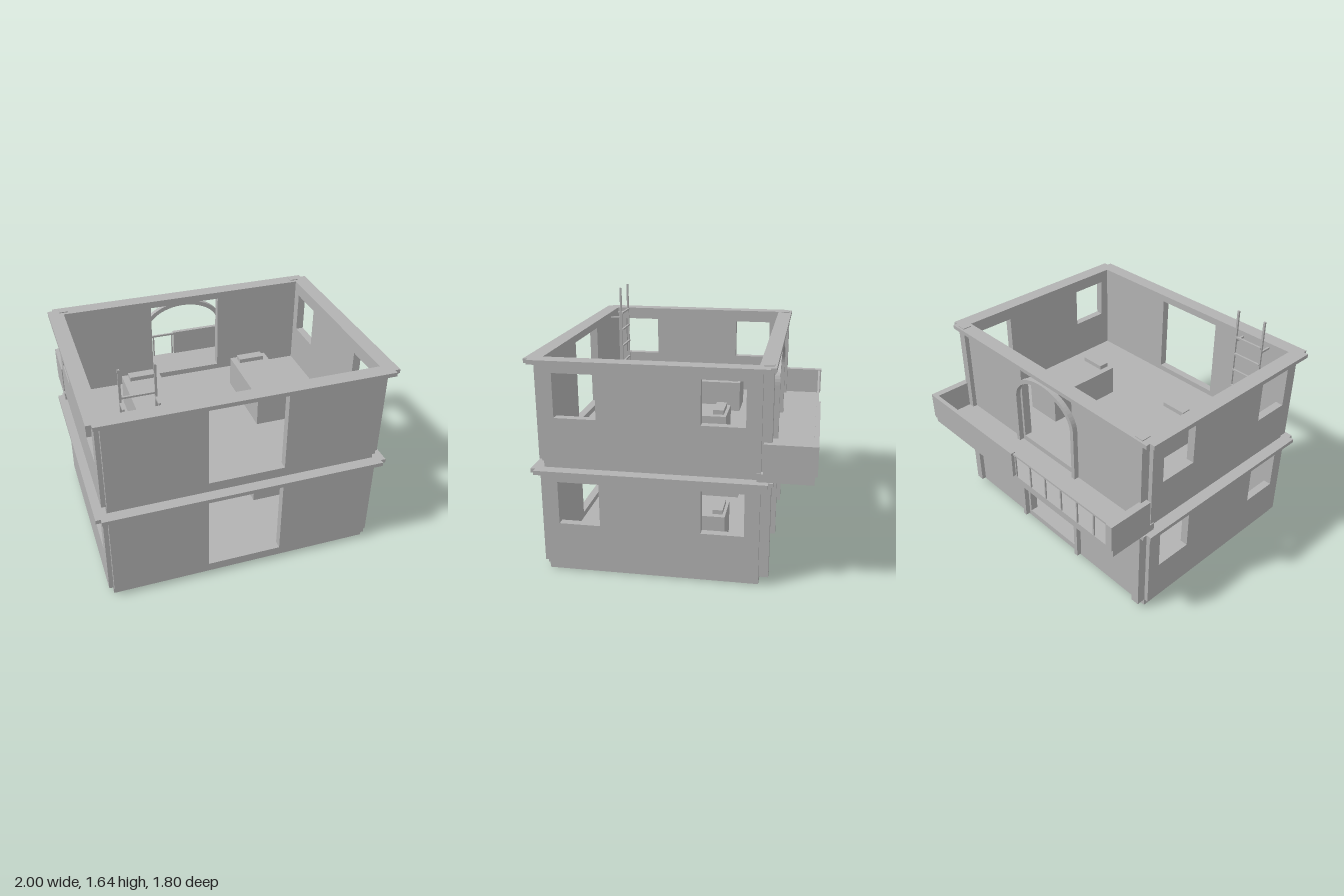
import * as THREE from 'three';

const stone = new THREE.MeshStandardMaterial({ color: 0xb2b2b2 });
stone.name = 'grey stone';

export function createModel() {
  const house = new THREE.Group();
  house.name = 'house';

  const add = (name, geometry, parent = house) => {
    const mesh = new THREE.Mesh(geometry, stone);
    mesh.name = name;
    parent.add(mesh);
    return mesh;
  };
  // Box given by its min and max on each axis
  const box = (name, x0, x1, y0, y1, z0, z1, parent) =>
    add(name, new THREE.BoxGeometry(x1 - x0, y1 - y0, z1 - z0)
      .translate((x0 + x1) / 2, (y0 + y1) / 2, (z0 + z1) / 2), parent);
  const outline = (points, Kind = THREE.Shape) =>
    new Kind(points.map(([x, y]) => new THREE.Vector2(x, y)));
  const rect = (x0, x1, y0, y1) => [[x0, y0], [x1, y0], [x1, y1], [x0, y1]];
  // Flat panel with rectangular openings
  const panel = (points, holes, depth) => {
    const shape = outline(points);
    holes.forEach(h => shape.holes.push(outline(rect(...h), THREE.Path)));
    return new THREE.ExtrudeGeometry(shape, { depth, bevelEnabled: false });
  };
  const slab = (points, holes, y0, y1) =>
    panel(points, holes, y1 - y0).rotateX(Math.PI / 2).translate(0, y1, 0);

  // Arched surround: two posts joined by a half ellipse
  const archGeometry = () => {
    const spring = 1.15 - 0.715, foot = 0.06;
    const s = new THREE.Shape();
    s.moveTo(0.31, foot);
    s.lineTo(0.31, spring);
    s.absellipse(0, spring, 0.31, 0.22, 0, Math.PI, false);
    s.lineTo(-0.31, foot);
    s.lineTo(-0.28, foot);
    s.lineTo(-0.28, spring);
    s.absellipse(0, spring, 0.28, 0.19, Math.PI, 0, true);
    s.lineTo(0.28, foot);
    return new THREE.ExtrudeGeometry(s, { depth: 0.036, bevelEnabled: false, curveSegments: 16 })
      .translate(0, 0, -0.626);
  };

  // Floors
  box('groundFloor', -0.92, 0.92, 0, 0.055, -0.56, 0.82);
  add('upperFloor', slab(rect(-0.92, 0.92, -0.56, 0.82), [[-0.83, -0.44, 0.31, 0.73]], 0.715, 0.77));

  // Cornice ring with notched corners
  const rim = [[-0.965, -0.637], [0.965, -0.637], [0.965, -0.607], [1, -0.607], [1, 0.867], [0.965, 0.867],
    [0.965, 0.897], [-0.965, 0.897], [-0.965, 0.867], [-1, 0.867], [-1, -0.607], [-0.965, -0.607]];

  // Two identical storeys
  for (const [i, name] of ['lowerStorey', 'upperStorey'].entries()) {
    const storey = new THREE.Group();
    storey.name = name;
    storey.position.y = i * 0.715;
    house.add(storey);

    const door = [-0.26, 0.26, 0.095, 0.665];
    const longWall = () => panel(rect(-0.92, 0.92, 0.055, 0.687), [door], 0.056);
    add('frontWall', longWall().translate(0, 0, 0.794), storey);
    add('backWall', longWall().translate(0, 0, -0.59), storey);
    for (const x of [0.95, -0.895]) {
      add('sideWall', panel(rect(-0.56, 0.82, 0.055, 0.687),
        [[0.46, 0.73, 0.34, 0.627], [-0.465, -0.192, 0.34, 0.627]], 0.055)
        .rotateY(-Math.PI / 2).translate(x, 0, 0), storey);
    }
    add('cornice', slab(rim, [[-0.895, 0.895, -0.534, 0.794]], 0.687, 0.715), storey);
    add('doorArch', archGeometry(), storey);

    // Long cabinets with a raised pad at each end
    for (const x of [-0.42, 0.42]) {
      box('cabinet', x - 0.136, x + 0.136, 0.055, 0.275, -0.295, 0.285, storey);
      for (const z of [-0.24, 0.23])
        box('cabinetPad', x - 0.092, x + 0.092, 0.275, 0.305, z - 0.035, z + 0.035, storey);
    }
  }

  // Pilasters at the back corners, showing just above the top cornice
  for (const s of [-1, 1])
    box('pilaster', s * 0.89 - 0.03, s * 0.89 + 0.03, 0.055, 1.436, -0.622, -0.56);

  // Balcony: solid parapet on one half, open railing on the other
  const balcony = new THREE.Group();
  balcony.name = 'balcony';
  house.add(balcony);
  box('balconyFloor', -0.955, 0.955, 0.716, 0.769, -0.883, -0.535, balcony);
  box('frontParapet', 0, 0.94, 0.769, 0.96, -0.9, -0.87, balcony);
  for (const s of [-1, 1])
    box('endParapet', s * 0.93 - 0.025, s * 0.93 + 0.025, 0.769, 0.96, -0.897, -0.572, balcony);
  box('handrail', -0.93, 0, 0.94, 0.954, -0.886, -0.872, balcony);
  for (let i = 0; i < 7; i++) {
    const x = -0.015 - 0.153 * i;
    box('baluster', x - 0.005, x + 0.005, 0.769, 0.942, -0.884, -0.874, balcony);
  }

  // Ladder through the floor hatch, tied back to the front wall
  const ladder = new THREE.Group();
  ladder.name = 'ladder';
  house.add(ladder);
  for (const x of [-0.755, -0.537]) {
    box('ladderRail', x - 0.007, x + 0.007, 0.055, 1.645, 0.67, 0.684, ladder);
    box('ladderBracket', x - 0.007, x + 0.007, 1.408, 1.422, 0.67, 0.76, ladder);
  }
  for (let i = 0; i < 11; i++) {
    const y = 1.446 - 0.13 * i;
    box('ladderRung', -0.755, -0.537, y - 0.006, y + 0.006, 0.664, 0.678, ladder);
  }

  return house;
}
